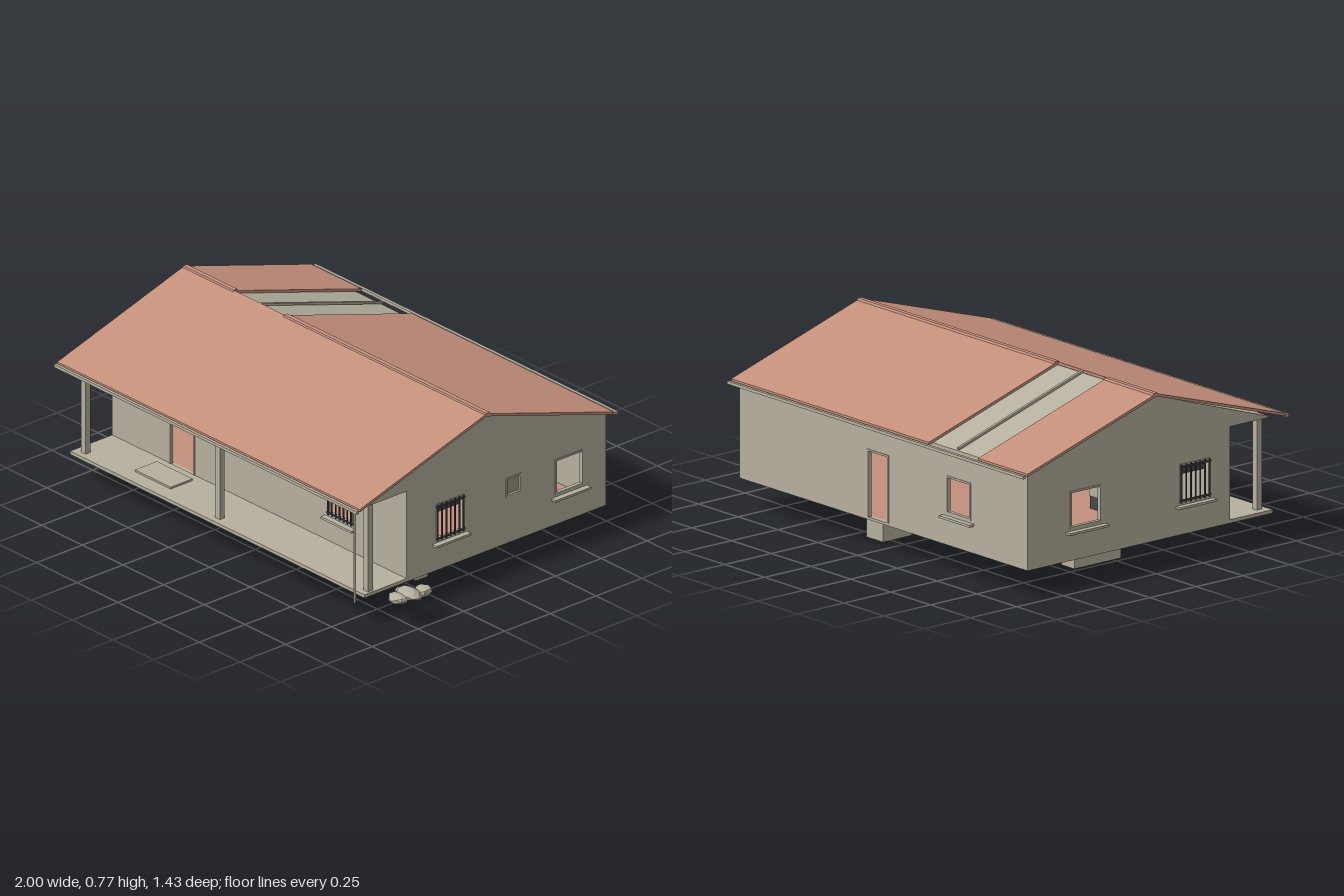
import * as THREE from 'three';
import { mergeVertices } from 'three/addons/utils/BufferGeometryUtils.js';

const mat = (name, color, side = THREE.FrontSide) => {
  const m = new THREE.MeshStandardMaterial({ color, side });
  m.name = name;
  return m;
};

export function createModel() {
  const plaster = mat('plaster', 0xb5b09e);
  const tile = mat('terracotta', 0xc48f7b);
  const iron = mat('iron', 0x46484a);
  const pane = mat('pane', 0x9a9684);
  const stone = mat('stone', 0xb5b09e);
  stone.flatShading = true;
  const house = new THREE.Group();
  house.name = 'house';

  // Box given by its min and max on each axis
  const box = (name, m, x0, x1, y0, y1, z0, z1, parent = house) => {
    const mesh = new THREE.Mesh(new THREE.BoxGeometry(x1 - x0, y1 - y0, z1 - z0), m);
    mesh.position.set((x0 + x1) / 2, (y0 + y1) / 2, (z0 + z1) / 2);
    mesh.name = name;
    parent.add(mesh);
    return mesh;
  };
  // Profile of [z, y] points swept along x
  const sweep = (name, m, points, x0, x1) => {
    const shape = new THREE.Shape(points.map(p => new THREE.Vector2(...p)));
    const g = new THREE.ExtrudeGeometry(shape, { depth: x1 - x0, bevelEnabled: false });
    g.rotateY(-Math.PI / 2).translate(x1, 0, 0);
    const mesh = new THREE.Mesh(g, m);
    mesh.name = name;
    house.add(mesh);
  };

  const X0 = -0.97, X1 = 0.84, ZF = 0.42, ZB = -0.667, FLOOR = 0.13, EAVE = 0.54;

  // Floor slab, inner tiles and porch
  box('floorSlab', plaster, X0, X1, FLOOR, 0.137, ZB, ZF);
  box('innerFloor', tile, X0 + 0.02, X1 - 0.02, 0.137, 0.141, ZB + 0.02, ZF - 0.02);
  box('porch', plaster, X0, X1, FLOOR, 0.145, ZF, 0.65);
  box('doorStep', plaster, -0.65, -0.43, 0.145, 0.153, 0.46, 0.58);

  // Wall in its own frame: u along the wall, v up, outside towards local +z
  const wall = (name, turn, x, z, u0, u1, openings) => {
    const group = new THREE.Group();
    group.name = name;
    group.position.set(x, 0, z);
    group.rotation.y = turn;
    house.add(group);
    const rect = (T, a, b, c, d) => {
      const s = new T();
      s.moveTo(a, c);
      s.lineTo(b, c);
      s.lineTo(b, d);
      s.lineTo(a, d);
      s.closePath();
      return s;
    };
    const shape = rect(THREE.Shape, u0, u1, FLOOR, EAVE);
    openings.forEach(o => shape.holes.push(rect(THREE.Path, o.a, o.b, o.c, o.d)));
    const panel = new THREE.Mesh(
      new THREE.ExtrudeGeometry(shape, { depth: 0.02, bevelEnabled: false }), plaster);
    panel.position.z = -0.02;
    panel.name = name + 'Panel';
    group.add(panel);
    for (const { a, b, c, d, sill, bars, glass, door } of openings) {
      const t = 0.008;
      for (const [p, q] of [[a, a + t], [b - t, b]])
        box('frameSide', plaster, p, q, c, d, -0.015, 0.003, group);
      box('frameTop', plaster, a, b, d - t, d, -0.015, 0.003, group);
      if (!door) box('frameBottom', plaster, a, b, c, c + t, -0.015, 0.003, group);
      if (sill) box('sill', plaster, a - 0.02, b + 0.02, c - 0.02, c - 0.01, -0.01, 0.026, group);
      if (glass) box('windowPane', pane, a + t, b - t, c + t, d - t, -0.013, -0.008, group);
      if (bars) {
        for (let i = 0; i < 7; i++) {
          const u = a + 0.004 + (b - a - 0.008) * i / 6;
          box('bar', iron, u - 0.0025, u + 0.0025, c, d, 0.004, 0.009, group);
        }
        for (const v of [c + 0.01, d - 0.012])
          box('crossBar', iron, a - 0.003, b + 0.003, v - 0.003, v + 0.003, 0.003, 0.01, group);
        box('rolledBlind', iron, a + t, b - t, d - 0.05, d - t, -0.03, -0.02, group);
      }
    }
  };
  wall('frontWall', 0, 0, ZF, X0, X1, [
    { a: -0.62, b: -0.46, c: 0.141, d: 0.43, door: true },
    { a: 0.36, b: 0.51, c: 0.265, d: 0.43, sill: true, bars: true }]);
  wall('backWall', Math.PI, 0, ZB, -X1, -X0, [
    { a: -0.035, b: 0.1, c: 0.141, d: 0.43, door: true },
    { a: 0.46, b: 0.615, c: 0.265, d: 0.425, sill: true }]);
  wall('leftWall', Math.PI / 2, X1, 0, -ZF, -ZB, [
    { a: -0.26, b: -0.11, c: 0.265, d: 0.43, sill: true, bars: true },
    { a: 0.12, b: 0.205, c: 0.34, d: 0.425, glass: true },
    { a: 0.39, b: 0.545, c: 0.265, d: 0.425, sill: true }]);
  wall('rightWall', -Math.PI / 2, X0, 0, ZB, ZF, [
    { a: 0.15, b: 0.31, c: 0.265, d: 0.43, sill: true, bars: true },
    { a: -0.44, b: -0.27, c: 0.265, d: 0.425, sill: true }]);

  // Gable block and roof slopes, with an untiled strip on the back slope
  sweep('gable', plaster, [[ZB, EAVE], [0.645, EAVE], [0, 0.752], [ZB, 0.545]], X0, X1);
  const slope = s => {
    const p = [[0, 0.753], [s * 0.693, 0.54], [s * 0.693, 0.552], [0, 0.765]];
    return s > 0 ? p : p.reverse();
  };
  sweep('frontRoof', tile, slope(1), -1, 0.86);
  for (const [a, b] of [[-1, -0.69], [-0.38, 0.86]]) {
    sweep('backRoof', tile, slope(-1), a, b);
    sweep('ridgeCap', tile, [[-0.02, 0.757], [0.012, 0.759], [0.006, 0.768], [-0.014, 0.768]], a, b);
  }
  const rafter = box('rafter', plaster, -0.541, -0.529, -0.005, 0.005, -0.35, 0.35);
  rafter.position.set(-0.535, 0.657, -0.333);
  rafter.rotation.x = -Math.atan2(0.213, 0.693);

  // Gutters, downpipe and porch posts
  for (const z of [0.705, -0.71])
    box('gutter', plaster, -1, 0.86, 0.534, 0.547, z - 0.007, z + 0.007);
  const pipe = new THREE.Mesh(new THREE.CylinderGeometry(0.005, 0.005, 0.41, 8), plaster);
  pipe.position.set(0.845, 0.335, 0.707);
  pipe.name = 'downpipe';
  house.add(pipe);
  for (const x of [-0.92, -0.095, 0.815])
    box('porchPost', plaster, x - 0.014, x + 0.014, 0.145, 0.547, 0.595, 0.622);

  // Fittings that hang below the floor
  box('footing', plaster, 0.065, 0.15, 0, FLOOR, 0.105, 0.265);
  box('footing', plaster, 0.08, 0.185, 0, FLOOR, -0.545, -0.39);
  box('shallowFooting', plaster, -0.94, -0.86, 0.08, FLOOR, -0.39, -0.14);
  box('shallowFooting', plaster, -0.215, -0.15, 0.107, FLOOR, 0.055, 0.26);
  box('shallowFooting', plaster, 0.73, 0.8, 0.11, FLOOR, -0.15, -0.1);
  box('shallowFooting', plaster, 0.75, 0.82, 0.105, FLOOR, 0.285, 0.35);
  box('drain', iron, -0.55, -0.43, 0.12, FLOOR, -0.07, 0.04);
  box('drain', iron, -0.53, -0.45, 0.124, FLOOR, -0.64, -0.58);
  for (const x of [-0.56, -0.51, -0.47])
    for (const z of [-0.26, -0.33, -0.36])
      box('peg', iron, x - 0.003, x + 0.003, z < -0.3 ? 0.04 : 0.08, FLOOR, z - 0.003, z + 0.003);
  for (const x of [-0.405, -0.385])
    box('tilePeg', tile, x - 0.003, x + 0.003, 0.04, FLOOR, -0.003, 0.003);

  // Low cabinet inside the front door
  box('cabinet', plaster, -0.56, -0.46, 0.195, 0.25, 0.1, 0.2);
  box('cabinetBase', iron, -0.56, -0.46, 0.141, 0.195, 0.105, 0.195);

  // Heap of rocks beside the porch
  const rock = (x, y, z, rx, ry, rz, seed) => {
    let g = new THREE.IcosahedronGeometry(1, 1);
    g.deleteAttribute('normal');
    g.deleteAttribute('uv');
    g = mergeVertices(g, 1e-3);
    const p = g.attributes.position;
    for (let i = 0; i < p.count; i++) {
      const k = 0.87 + 0.13 * Math.sin(i * 12.9 + seed * 7.3);
      p.setXYZ(i, p.getX(i) * k * rx, p.getY(i) * k * ry, p.getZ(i) * k * rz);
    }
    g.computeVertexNormals();
    const mesh = new THREE.Mesh(g, stone);
    mesh.position.set(x, y, z);
    mesh.name = 'rock';
    house.add(mesh);
  };
  rock(0.937, 0.134, 0.49, 0.063, 0.032, 0.055, 1);
  rock(0.93, 0.13, 0.545, 0.05, 0.026, 0.045, 2);
  rock(0.945, 0.131, 0.425, 0.042, 0.026, 0.045, 3);
  rock(0.885, 0.13, 0.5, 0.025, 0.02, 0.025, 4);

  return house;
}
